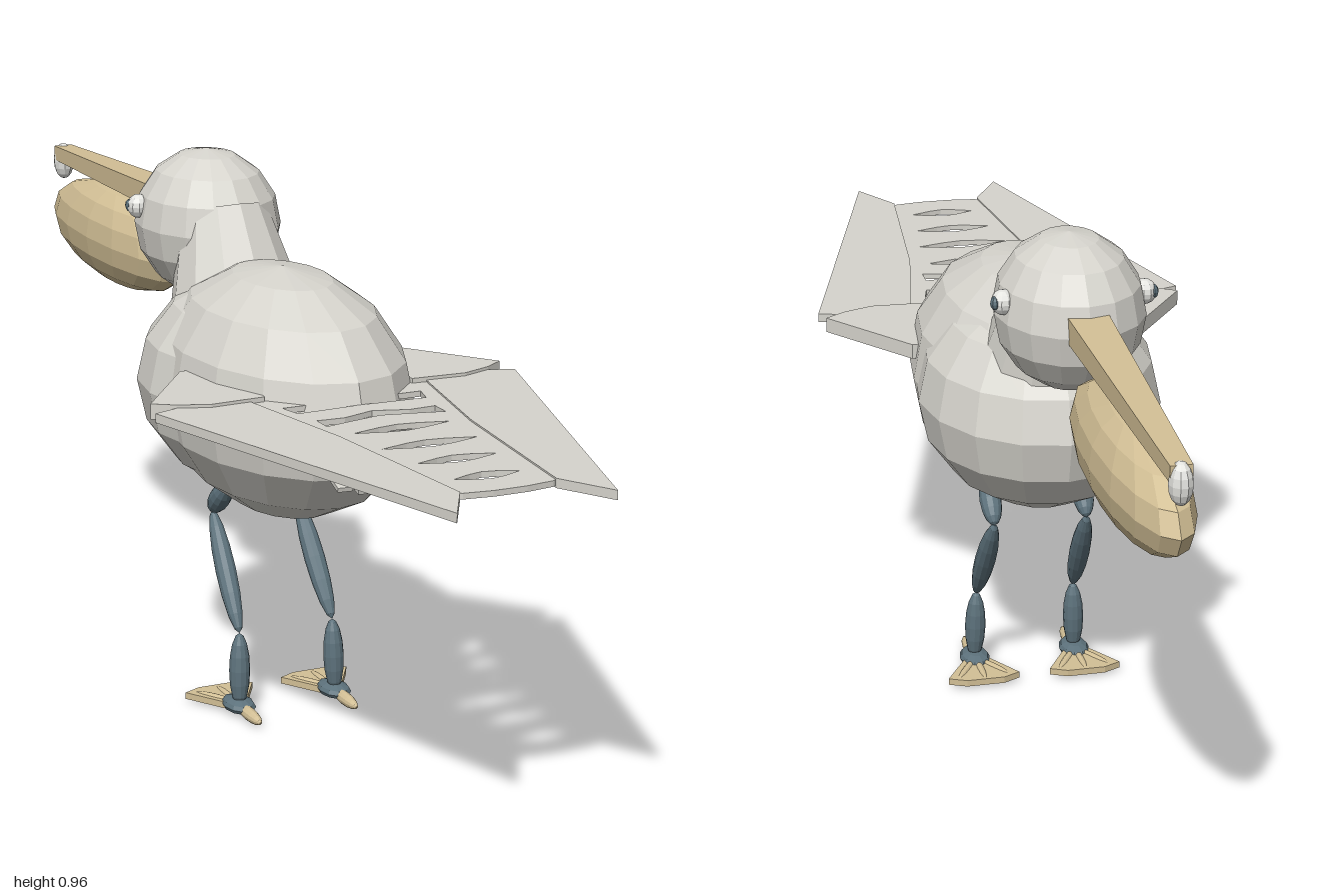
import * as THREE from 'three';

const mat = (name, color, side = THREE.FrontSide) =>
  Object.assign(new THREE.MeshStandardMaterial({ color, flatShading: true, side }), { name });

export function createModel() {
  const plumage = mat('plumage grey', 0xd6d4cd);
  const tan = mat('beak tan', 0xd3c096);
  const slate = mat('leg slate', 0x5d727c);
  const white = mat('pale tip', 0xe4e4e0);
  const group = new THREE.Group();
  const V = (x, y, z) => new THREE.Vector3(x, y, z);

  const add = (name, geometry, material) => {
    const mesh = new THREE.Mesh(geometry, material);
    mesh.name = name;
    group.add(mesh);
    return mesh;
  };
  // Ellipsoid from centre and radii
  const ball = (name, c, r, material, w = 16, h = 8) => {
    const m = add(name, new THREE.SphereGeometry(1, w, h), material);
    m.position.set(...c);
    m.scale.set(...r);
    return m;
  };
  const align = (m, a, b) => {
    m.position.copy(a).lerp(b, 0.5);
    m.quaternion.setFromUnitVectors(V(0, 1, 0), b.clone().sub(a).normalize());
    return m;
  };
  // Spindle-shaped ellipsoid between two joints
  const spindle = (name, a, b, r, material) => {
    const m = ball(name, [0, 0, 0], [r, a.distanceTo(b) / 2, r], material, 12, 8);
    return align(m, a, b);
  };
  // Flat horizontal plate from [x, z] outlines, centred on height y
  const path = (points, T) => new T(points.map(([x, z]) => new THREE.Vector2(x, z)));
  const plate = (name, points, y, thick, material, holes = []) => {
    const shape = path(points, THREE.Shape);
    shape.holes = holes.map((h) => path(h, THREE.Path));
    const g = new THREE.ExtrudeGeometry(shape, { depth: thick, bevelEnabled: false });
    g.rotateX(Math.PI / 2).translate(0, y + thick / 2, 0);
    return add(name, g, material);
  };

  // Body, breast, neck and head
  ball('body', [0, 0.59, 0.07], [0.207, 0.222, 0.33], plumage);
  ball('breast', [0, 0.583, -0.02], [0.216, 0.198, 0.26], plumage);
  const n0 = V(0, 0.705, -0.13), n1 = V(0, 0.86, -0.185);
  align(add('neck', new THREE.CylinderGeometry(0.08, 0.12, n0.distanceTo(n1), 12), plumage), n0, n1);
  ball('head', [0, 0.825, -0.255], [0.13, 0.137, 0.156], plumage);

  // Upper beak: box narrowed and lowered towards the tip
  const beak = new THREE.BoxGeometry(1, 1, 1);
  const p = beak.attributes.position;
  for (let i = 0; i < p.count; i++) {
    const tip = p.getZ(i) < 0;
    p.setXYZ(i, p.getX(i) * (tip ? 0.036 : 0.072),
      (tip ? 0.82 : 0.838) + p.getY(i) * (tip ? 0.028 : 0.046), tip ? -0.98 : -0.36);
  }
  add('upperBeak', beak, tan);
  ball('beakPouch', [0, 0.713, -0.682], [0.07, 0.095, 0.305], tan);
  ball('beakTip', [0, 0.803, -0.976], [0.02, 0.036, 0.024], white, 10, 8);

  // Bridging feathers between the wings, with slots
  const mirrorHole = (half) => [...half, ...half.filter(([x]) => x > 0).reverse().map(([x, z]) => [-x, z])];
  const holes = [
    mirrorHole([[0, 0.35], [0.13, 0.35], [0.12, 0.39], [0, 0.385]]),
    mirrorHole([[0, 0.425], [0.06, 0.445], [0.11, 0.442], [0.11, 0.48], [0.07, 0.47], [0, 0.455]]),
  ];
  [[0.535, 0.088], [0.635, 0.087], [0.73, 0.072], [0.83, 0.06]].forEach(([z, w]) =>
    holes.push(mirrorHole([[0, z - 0.019], [w * 0.4, z - 0.014], [w, z], [w * 0.4, z + 0.014], [0, z + 0.019]])));
  plate('wingBridge', [[-0.18, 0.28], [0.18, 0.28], [0.11, 0.88], [0.08, 0.9], [0.03, 0.907],
    [-0.03, 0.907], [-0.08, 0.9], [-0.11, 0.88]], 0.635, 0.01, plumage, holes);

  // Tail fan
  for (let i = 0; i < 8; i++) {
    const t = (i - 3.5) / 3.5;
    const a = V(t * 0.07, 0.59 - 0.008 * t * t, 0.32);
    const b = V(t * 0.09, 0.537, 0.56 - 0.05 * t * t);
    const f = add('tailFeather', new THREE.BoxGeometry(0.027, 0.008, a.distanceTo(b)), plumage);
    f.position.copy(a).lerp(b, 0.5);
    f.lookAt(b);
  }

  // Paired parts
  for (const s of [1, -1]) {
    const flip = (pts) => pts.map(([x, z]) => [s * x, z]);
    plate('wingShoulder', flip([[0.1, 0.09], [0.205, 0.09], [0.332, 0.26], [0.295, 0.285],
      [0.24, 0.305], [0.14, 0.3]]), 0.635, 0.027, plumage);
    plate('wingPanel', flip([[0.17, 0.28], [0.295, 0.285], [0.34, 0.3], [0.14, 0.995],
      [0.085, 0.9], [0.12, 0.55]]), 0.635, 0.016, plumage);

    ball('eye', [s * 0.122, 0.858, -0.29], [0.021, 0.022, 0.022], white, 10, 8);
    ball('pupil', [s * 0.136, 0.859, -0.296], [0.009, 0.012, 0.012], slate, 8, 6);

    // Leg joints from hip to ankle
    const j = [V(s * 0.085, 0.41, 0.025), V(s * 0.085, 0.342, -0.045),
      V(s * 0.092, 0.15, 0.088), V(s * 0.095, 0.012, 0.095)];
    ['thigh', 'shin', 'lowerLeg'].forEach((name, i) =>
      spindle(name, j[i], j[i + 1], [0.02, 0.019, 0.019][i], slate));
    ball('ankle', [s * 0.095, 0.016, 0.09], [0.028, 0.014, 0.045], slate, 10, 6);

    // Webbed foot with front toes and a hind toe
    plate('footWeb', flip([[0.08, 0.09], [0.11, 0.09], [0.162, 0.005], [0.13, -0.01],
      [0.06, -0.01], [0.029, 0.005]]), 0.013, 0.012, tan);
    for (const k of [-1, 0, 1]) {
      spindle('frontToe', V(s * 0.095, 0.016, 0.085),
        V(s * 0.095 + k * 0.05, 0.016, k ? 0.0 : -0.01), 0.007, tan);
    }
    spindle('hindToe', V(s * 0.095, 0.014, 0.09), V(s * 0.095, 0.012, 0.185), 0.012, tan);
  }
  return group;
}
